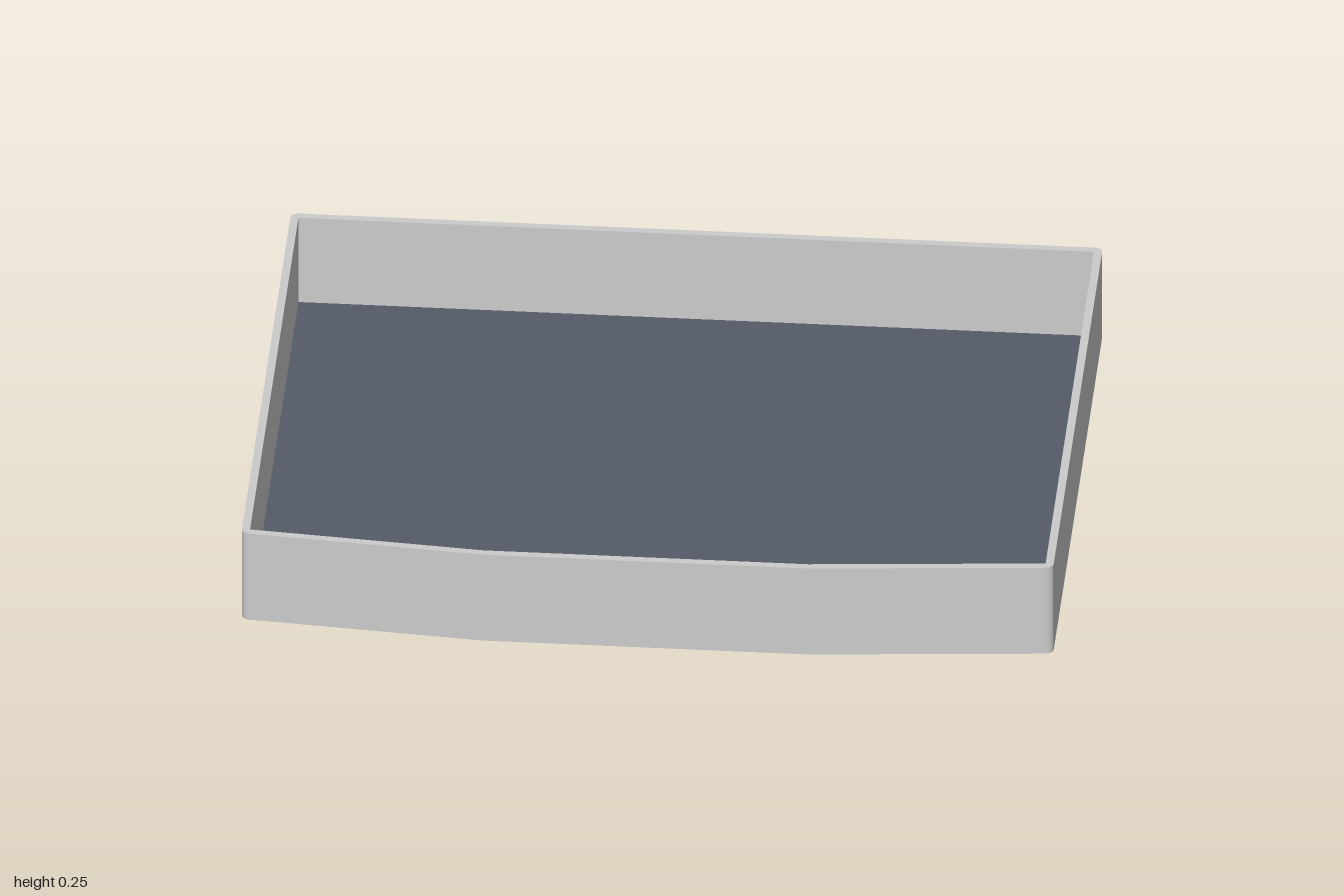
import * as THREE from 'three';

const HEIGHT = 0.248, WALL = 0.02, FLOOR = 0.005;

// Inner outline as [x, z], counter-clockwise seen from above; the front is gently bowed
const inner = [[-0.98, 0.705], [-0.4, 0.756], [0.4, 0.756], [0.98, 0.705], [0.98, -0.757], [-0.98, -0.757]]
  .map(([x, z]) => new THREE.Vector2(x, -z));

// Outline grown outwards by r, with an arc around every corner
function offsetOutline(points, r, steps = 4) {
  const n = points.length, out = [];
  const normalAngle = (a, b) => Math.atan2(-(b.x - a.x), b.y - a.y);
  points.forEach((p, i) => {
    const a0 = normalAngle(points[(i + n - 1) % n], p);
    let turn = normalAngle(p, points[(i + 1) % n]) - a0;
    if (turn < 0) turn += Math.PI * 2;
    const s = turn < 0.5 ? 1 : steps;
    for (let k = 0; k <= s; k++) {
      const a = a0 + turn * k / s;
      out.push(new THREE.Vector2(p.x + r * Math.cos(a), p.y + r * Math.sin(a)));
    }
  });
  return out;
}

// Extrudes a plan shape upwards from y = 0
function slab(name, shape, depth, color) {
  const geometry = new THREE.ExtrudeGeometry(shape, { depth, bevelEnabled: false });
  geometry.rotateX(-Math.PI / 2);
  const mesh = new THREE.Mesh(geometry, new THREE.MeshStandardMaterial({ color }));
  mesh.name = name;
  return mesh;
}

export function createModel() {
  const group = new THREE.Group();
  group.name = 'tray';

  // Upright rim with rounded outer corners
  const rim = new THREE.Shape(offsetOutline(inner, WALL));
  rim.holes.push(new THREE.Path(inner));
  group.add(slab('walls', rim, HEIGHT, 0xcccccc));

  // Thin dark floor inside the rim
  group.add(slab('floor', new THREE.Shape(inner), FLOOR, 0x555c68));

  return group;
}
